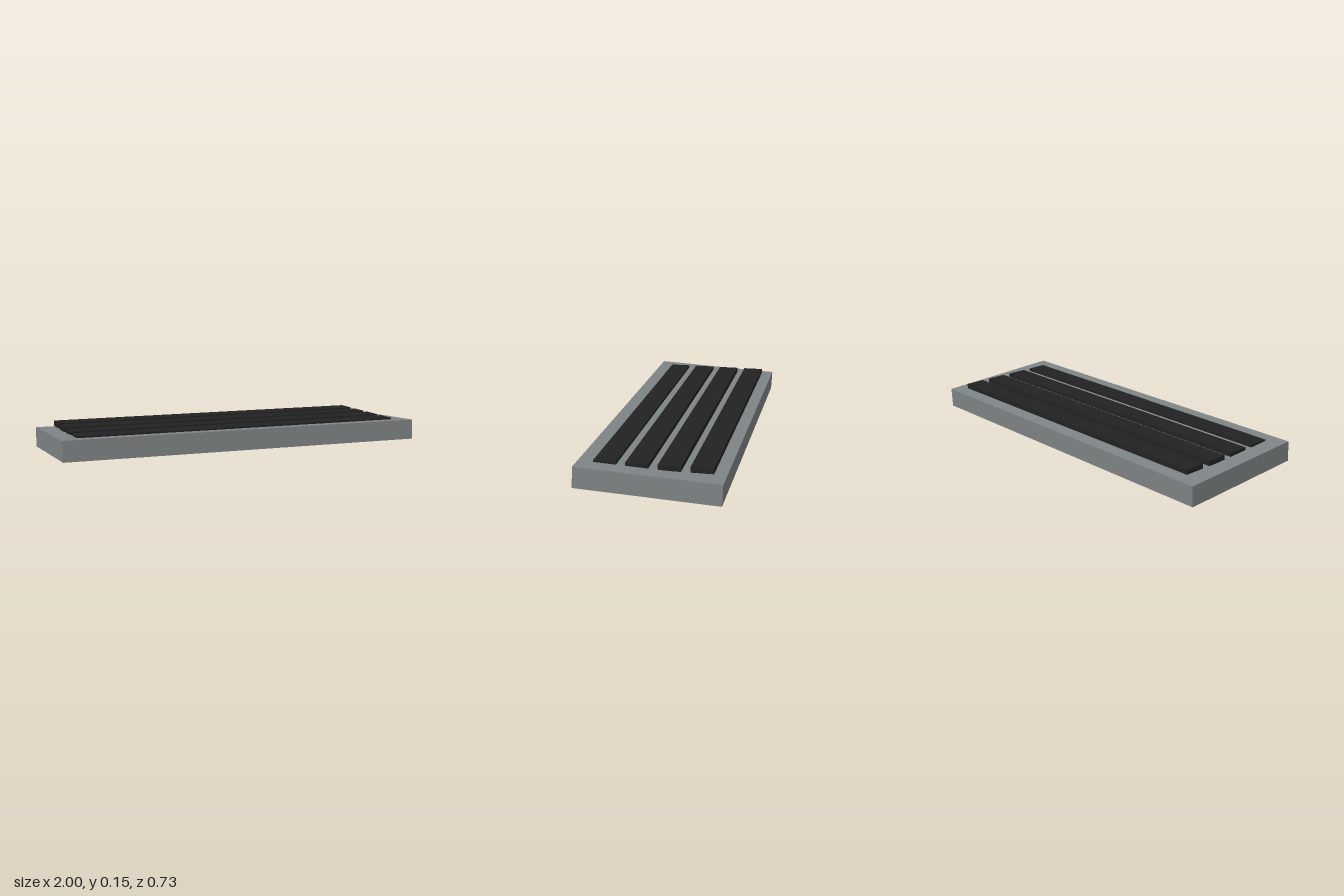
import * as THREE from 'three';

export function createModel() {
  const group = new THREE.Group();
  const grey = new THREE.MeshStandardMaterial({ color: 0x7f8486 });
  grey.name = 'grey';
  const black = new THREE.MeshStandardMaterial({ color: 0x222222 });
  black.name = 'black';

  // Tilted slab, raised at the front
  const base = new THREE.Mesh(new THREE.BoxGeometry(2, 0.109, 0.727), grey);
  base.name = 'base';
  base.position.y = 0.0727;
  base.rotation.x = -0.05;
  group.add(base);

  // Four level bars set into the top
  const barGeometry = new THREE.BoxGeometry(1.818, 0.0273, 0.1136);
  for (let i = 0; i < 4; i++) {
    const bar = new THREE.Mesh(barGeometry, black);
    bar.name = `bar${i + 1}`;
    bar.position.set(0, 0.1364, 0.2273 - i * 0.1591);
    group.add(bar);
  }
  return group;
}
